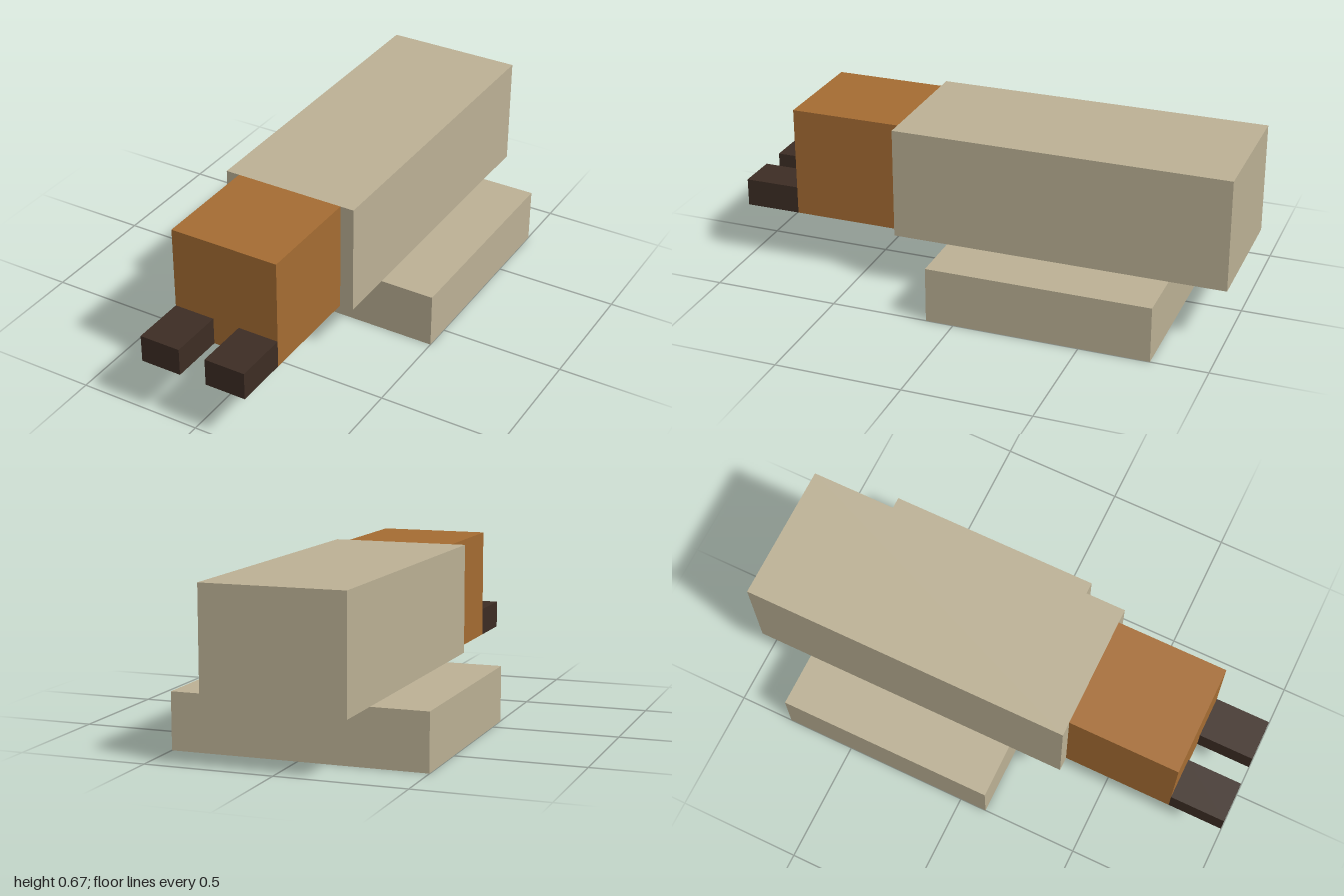
import * as THREE from 'three';

const U = 1 / 18; // model grid unit

function material(name, color) {
  const m = new THREE.MeshStandardMaterial({ color });
  m.name = name;
  return m;
}

// Box given by its minimum and maximum corners in grid units
function block(name, mat, min, max) {
  const size = max.map((v, i) => (v - min[i]) * U);
  const mesh = new THREE.Mesh(new THREE.BoxGeometry(...size), mat);
  mesh.position.set(...max.map((v, i) => ((v + min[i]) / 2) * U));
  mesh.name = name;
  return mesh;
}

export function createModel() {
  const beige = material('beige', 0xbdb296);
  const orange = material('orange brown', 0xa66d33);
  const dark = material('dark brown', 0x3d2d24);

  const model = new THREE.Group();
  model.name = 'blockyGrub';

  model.add(
    // Wide slab under the body
    block('base', beige, [-9, 0, -14], [9, 4, 2]),
    // Long body and narrower head
    block('body', beige, [-5, 4, -18], [5, 12, 6]),
    block('head', orange, [-4, 4, 6], [4, 12, 14]),
    // Pair of jaws at the front
    block('leftJaw', dark, [1, 4, 14], [4, 6, 18]),
    block('rightJaw', dark, [-4, 4, 14], [-1, 6, 18]),
  );
  return model;
}
